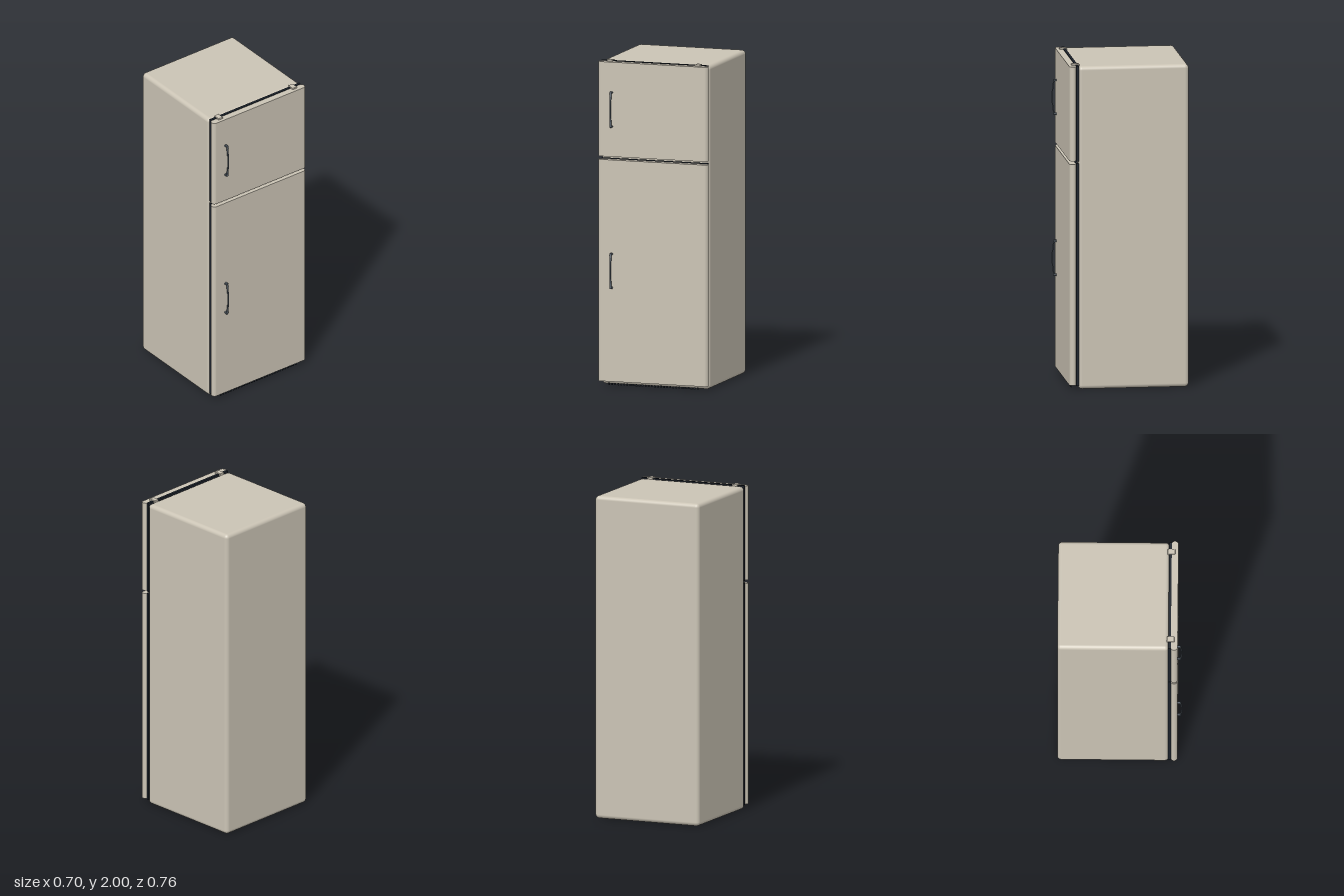
import * as THREE from 'three';
import { RoundedBoxGeometry } from 'three/addons/geometries/RoundedBoxGeometry.js';

const enamel = new THREE.MeshStandardMaterial({ color: 0xcbc4b5 });
const rubber = new THREE.MeshStandardMaterial({ color: 0x1b222b });
const metal = new THREE.MeshStandardMaterial({ color: 0x59636d });

function add(parent, name, geometry, material, x = 0, y = 0, z = 0) {
  const mesh = new THREE.Mesh(geometry, material);
  mesh.name = name;
  mesh.position.set(x, y, z);
  parent.add(mesh);
  return mesh;
}

// Door panel: a flat slab with fully rounded vertical edges
function doorGeometry(height) {
  const r = 0.0215, half = 0.352 - r;
  const shape = new THREE.Shape();
  shape.moveTo(-half, -r);
  shape.lineTo(half, -r);
  shape.absarc(half, 0, r, -Math.PI / 2, Math.PI / 2, false);
  shape.lineTo(-half, r);
  shape.absarc(-half, 0, r, Math.PI / 2, Math.PI * 1.5, false);
  const geo = new THREE.ExtrudeGeometry(shape, { depth: height, bevelEnabled: false, curveSegments: 12 });
  return geo.rotateX(-Math.PI / 2);
}

// Bowed grip, pinched above its middle and flared at the ends
function gripGeometry() {
  const length = 0.215;
  const geo = new RoundedBoxGeometry(1, 1, 1, 3, 0.25);
  const bar = new THREE.CylinderGeometry(0.5, 0.5, length, 12, 24);
  geo.dispose();
  const p = bar.attributes.position;
  for (let i = 0; i < p.count; i++) {
    const t = p.getY(i) / (length / 2);
    const width = 0.009 + 0.006 * Math.pow(Math.abs(t - 0.05), 1.5);
    const bow = 0.012 * (1 - t * t);
    p.setX(i, p.getX(i) * width);
    p.setZ(i, p.getZ(i) * 0.008 + bow);
  }
  bar.computeVertexNormals();
  return bar;
}

function addHandle(parent, name, y) {
  const handle = new THREE.Group();
  handle.name = name;
  handle.position.set(-0.262, y, 0.348);
  add(handle, 'grip', gripGeometry(), metal, 0, 0, 0.0145);
  for (const s of [-1, 1]) {
    add(handle, 'handlePost', new RoundedBoxGeometry(0.015, 0.013, 0.024, 2, 0.004), metal, 0, s * 0.104, 0.008);
  }
  parent.add(handle);
}

export function createModel() {
  const model = new THREE.Group();
  model.name = 'refrigerator';

  // Cabinet
  add(model, 'cabinet', new RoundedBoxGeometry(0.694, 1.985, 0.675, 5, 0.024), enamel, 0, 0.9975, -0.0435);

  // Doors with their dark seals and handles
  const doors = [
    { name: 'fridge', bottom: 0.03, top: 1.39, handle: 0.71 },
    { name: 'freezer', bottom: 1.41, top: 1.99, handle: 1.70 },
  ];
  for (const d of doors) {
    const height = d.top - d.bottom, mid = (d.top + d.bottom) / 2;
    add(model, d.name + 'Door', doorGeometry(height), enamel, 0, d.bottom, 0.3265);
    add(model, d.name + 'Seal', new THREE.BoxGeometry(0.682, height + 0.008, 0.016), rubber, 0, mid, 0.299);
    addHandle(model, d.name + 'Handle', d.handle);
  }

  // Top hinge covers
  for (const x of [-0.283, 0.281]) {
    add(model, 'hingeCover', new RoundedBoxGeometry(0.034, 0.018, 0.046, 2, 0.004), enamel, x, 1.991, 0.305);
  }

  // Row of vent slats under the fridge door
  const slats = 30;
  for (let i = 0; i < slats; i++) {
    const x = -0.285 + (0.57 * i) / (slats - 1);
    add(model, 'ventSlat', new THREE.BoxGeometry(0.01, 0.012, 0.004), rubber, x, 0.013, 0.33);
  }
  // Bottom hinge block between the doors' seals and the cabinet edge
  return model;
}
